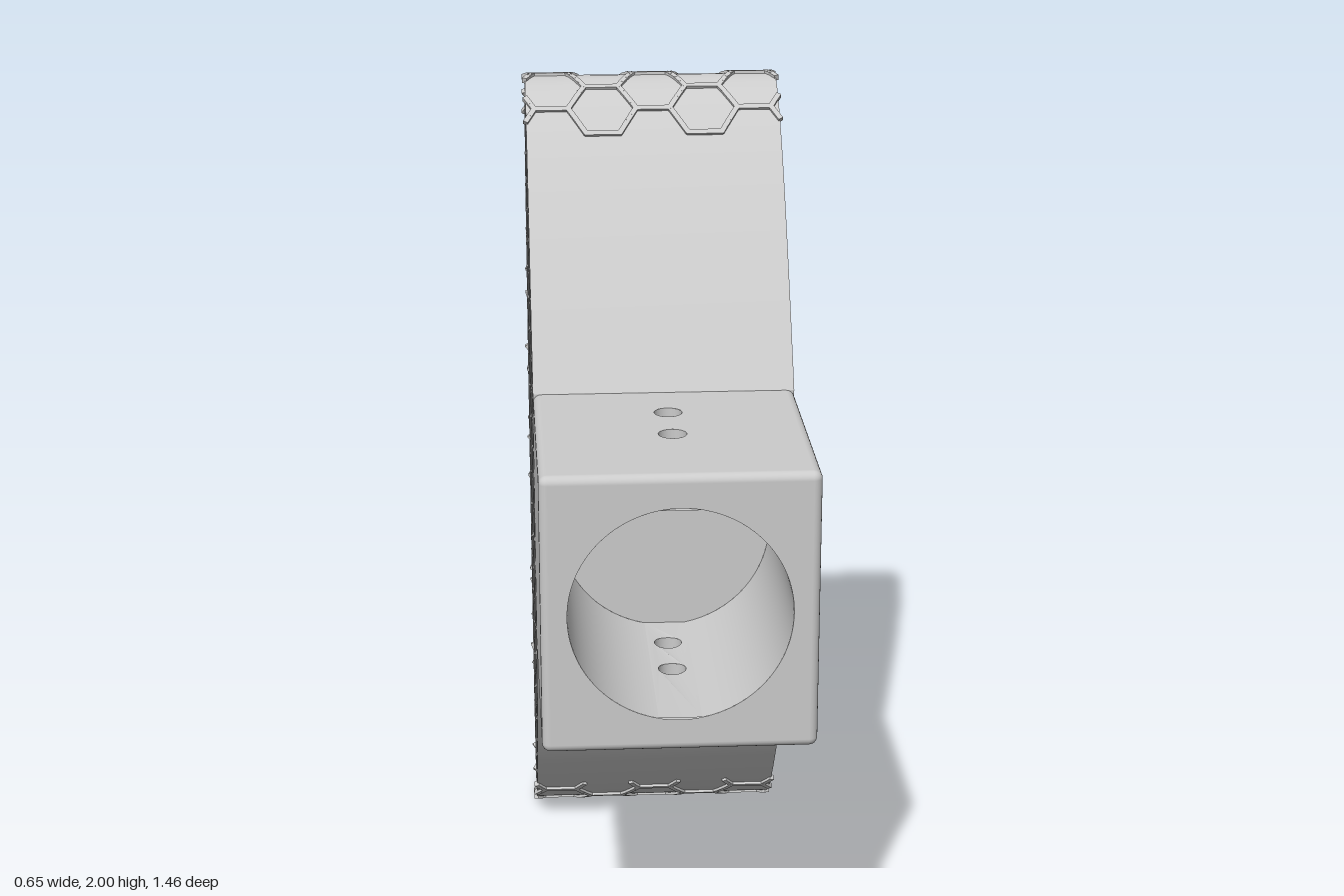
import * as THREE from 'three';
import { mergeGeometries, toCreasedNormals } from 'three/addons/utils/BufferGeometryUtils.js';
import { RoundedBoxGeometry } from 'three/addons/geometries/RoundedBoxGeometry.js';

const HALF_W = 0.315, HALF_H = 0.3325, Z_BACK = 0.105, Z_FRONT = 0.73, ROUND = 0.02;
const BORE = 0.255, BORE_END = 0.16, PIN = 0.033, PIN_Z = [0.28, 0.44];
const V2 = (x, y) => new THREE.Vector2(x, y);
const material = new THREE.MeshStandardMaterial({ color: 0xcccccc, side: THREE.DoubleSide });

function add(group, name, geometry) {
  const mesh = new THREE.Mesh(geometry, material);
  mesh.name = name;
  group.add(mesh);
}

// Rectangle with round holes
function plate(x0, x1, y0, y1, holes, segments) {
  const shape = new THREE.Shape([V2(x0, y0), V2(x1, y0), V2(x1, y1), V2(x0, y1)]);
  for (const [x, y, r] of holes) shape.holes.push(new THREE.Path().absarc(x, y, r, 0, Math.PI * 2, true));
  return new THREE.ShapeGeometry(shape, segments);
}

// Move every vertex by a rule
function warp(geometry, rule) {
  const p = geometry.attributes.position, v = new THREE.Vector3();
  for (let i = 0; i < p.count; i++) {
    rule(v.fromBufferAttribute(p, i));
    p.setXYZ(i, v.x, v.y, v.z);
  }
  geometry.computeVertexNormals();
  return geometry;
}

// Rounded box with its front, top and bottom flats left open
function openBox() {
  const src = new RoundedBoxGeometry(HALF_W * 2, HALF_H * 2, Z_FRONT - Z_BACK, 3, ROUND);
  const box = src.index ? src.toNonIndexed() : src;
  const p = box.attributes.position, n = box.attributes.normal, pos = [], nor = [];
  const hz = (Z_FRONT - Z_BACK) / 2 - 1e-5, hy = HALF_H - 1e-5;
  for (let i = 0; i < p.count; i += 3) {
    const t = [i, i + 1, i + 2];
    if (t.every(k => p.getZ(k) > hz) || t.every(k => p.getY(k) > hy) || t.every(k => p.getY(k) < -hy)) continue;
    for (const k of t) {
      pos.push(p.getX(k), p.getY(k), p.getZ(k));
      nor.push(n.getX(k), n.getY(k), n.getZ(k));
    }
  }
  const g = new THREE.BufferGeometry();
  g.setAttribute('position', new THREE.Float32BufferAttribute(pos, 3));
  g.setAttribute('normal', new THREE.Float32BufferAttribute(nor, 3));
  return g.translate(0, 0, (Z_FRONT + Z_BACK) / 2);
}

function buildSocket() {
  const g = new THREE.Group();
  g.name = 'socketBlock';
  add(g, 'blockShell', openBox());
  const fx = HALF_W - ROUND, fy = HALF_H - ROUND;
  add(g, 'blockFront', plate(-fx, fx, -fy, fy, [[0, 0, BORE]], 64).translate(0, 0, Z_FRONT));
  add(g, 'boreEnd', new THREE.CircleGeometry(BORE, 64).translate(0, 0, BORE_END));

  // Bore wall: two side arcs, plus a pierced strip above and below
  const strip = 0.05, a = Math.asin(strip / BORE), len = Z_FRONT - BORE_END;
  for (const start of [a, Math.PI + a]) {
    const arc = new THREE.CylinderGeometry(BORE, BORE, len, 32, 1, true, start, Math.PI - 2 * a);
    add(g, 'boreWall', arc.rotateX(Math.PI / 2).translate(0, 0, (Z_FRONT + BORE_END) / 2));
  }
  const pins = PIN_Z.map(z => [0, z, PIN]);
  const boreY = x => Math.sqrt(BORE * BORE - x * x);
  for (const s of [1, -1]) {
    add(g, 'boreStrip', warp(plate(-strip, strip, BORE_END, Z_FRONT, pins, 24),
      v => v.set(v.x, s * boreY(v.x), v.y)));
    add(g, s > 0 ? 'blockTop' : 'blockBottom',
      warp(plate(-fx, fx, Z_BACK + ROUND, Z_FRONT - ROUND, pins, 24), v => v.set(v.x, s * HALF_H, v.y)));
    for (const z of PIN_Z) {
      add(g, 'pinHole', warp(new THREE.CylinderGeometry(PIN, PIN, 1, 24, 1, true),
        v => v.set(v.x, s * (v.y > 0 ? HALF_H : boreY(v.x)), v.z + z)));
    }
  }
  return g;
}

// Upper half of the head outline as (-z, y): a swept front, then a quarter ellipse
function upperOutline() {
  const front = new THREE.CubicBezierCurve(V2(-0.125, 0.333), V2(0.1, 0.7), V2(0.31, 0.993), V2(0.438, 0.993));
  const pts = front.getPoints(24);
  for (let i = 1; i <= 24; i++) {
    const t = (i / 24) * Math.PI / 2;
    pts.push(V2(0.438 + 0.284 * Math.sin(t), 0.993 * Math.cos(t)));
  }
  return pts;
}

// Keep the part of a polygon inside a convex clockwise outline shrunk by the rim
function clip(poly, outline, rim) {
  outline.forEach((a, i) => {
    const b = outline[(i + 1) % outline.length];
    const n = V2(b.y - a.y, a.x - b.x).normalize();
    const dist = p => n.x * (p.x - a.x) + n.y * (p.y - a.y) - rim;
    const out = [];
    poly.forEach((p, k) => {
      const q = poly[(k + 1) % poly.length], dp = dist(p), dq = dist(q);
      if (dp >= 0) out.push(p);
      if (dp * dq < 0) out.push(p.clone().lerp(q, dp / (dp - dq)));
    });
    poly = out;
  });
  return poly;
}

const hexagon = (cx, cy, r) => Array.from({ length: 6 }, (_, k) =>
  V2(cx + r * Math.cos(k * Math.PI / 3), cy + r * Math.sin(k * Math.PI / 3)));

// Head: solid rim filled with hexagonal cells running straight across
function buildHead(outline) {
  const shape = new THREE.Shape(outline);
  const pitch = 0.115, r = pitch / Math.sqrt(3), wall = 0.013;
  for (let c = -3; c <= 9; c++) {
    for (let k = -10; k <= 10; k++) {
      const cell = hexagon(c * r * 1.5, (k + (c & 1) / 2) * pitch, r - wall / Math.sqrt(3));
      const hole = clip(cell, outline, 0.02);
      if (hole.length > 2 && Math.abs(THREE.ShapeUtils.area(hole)) > 2e-4) shape.holes.push(new THREE.Path(hole));
    }
  }
  const g = new THREE.ExtrudeGeometry(shape, { depth: HALF_W * 2, bevelEnabled: false, curveSegments: 1 });
  g.translate(0, 0, -HALF_W).rotateY(Math.PI / 2);
  return toCreasedNormals(g, 0.5);
}

// Raised hexagonal ridges wrapped over the curved back
function buildRidges(upper) {
  const top = upper.filter(p => p.x > 0.25);
  const path = [...top, ...top.slice(0, -1).reverse().map(p => V2(p.x, -p.y))];
  const curve = new THREE.CatmullRomCurve3(path.map(p => new THREE.Vector3(0, p.y, -p.x)));
  curve.arcLengthDivisions = 600;
  const length = curve.getLength(), R = 0.084, pitch = R * Math.sqrt(3);
  const hash = (a, b) => { const h = Math.sin(a * 127.1 + b * 311.7) * 43758.5; return h - Math.floor(h) - 0.5; };
  // Cells grow irregular towards the middle of the back
  const jitter = p => {
    const i = Math.round(p.x * 37), j = Math.round(p.y * 37);
    const amount = 0.055 * THREE.MathUtils.smoothstep(Math.min(p.y, length - p.y), 0.35, 0.8);
    return V2(p.x + amount * hash(i, j), p.y + amount * hash(j + 9, i));
  };
  const inside = p => Math.abs(p.x) <= HALF_W + 0.001 && p.y >= 0 && p.y <= length;
  const onSurface = p => curve.getPointAt(THREE.MathUtils.clamp(p.y / length, 0, 1)).setX(p.x);
  const parts = [];
  const ridge = (p, q) => {
    const a = onSurface(p), b = onSurface(q), dir = b.clone().sub(a);
    const size = dir.length();
    if (size < 1e-4) return;
    dir.normalize();
    const t = curve.getTangentAt(THREE.MathUtils.clamp((p.y + q.y) / 2 / length, 0, 1));
    const up = new THREE.Vector3(1, 0, 0).cross(t).normalize();
    const side = up.clone().cross(dir).normalize();
    const m = new THREE.Matrix4().makeBasis(side, dir.clone().cross(side), dir);
    m.setPosition(a.add(b).multiplyScalar(0.5));
    parts.push(new THREE.BoxGeometry(0.013, 0.014, size + 0.006).applyMatrix4(m));
  };
  for (let c = -3; c <= 3; c++) {
    for (let k = -1; k <= length / pitch + 1; k++) {
      const v = hexagon(c * R * 1.5, (k + (c & 1) / 2) * pitch, R).map(jitter);
      for (let e = 0; e < 3; e++) {
        for (let n = 0; n < 4; n++) {
          const p = v[e].clone().lerp(v[e + 1], n / 4), q = v[e].clone().lerp(v[e + 1], (n + 1) / 4);
          if (inside(p) && inside(q)) ridge(p, q);
        }
      }
    }
  }
  return mergeGeometries(parts);
}

export function createModel() {
  const model = new THREE.Group();
  model.name = 'honeycombHead';
  const upper = upperOutline();
  const outline = [...upper, ...upper.slice(0, -1).reverse().map(p => V2(p.x, -p.y))];
  const body = new THREE.Group();
  body.name = 'body';
  body.position.y = 1;
  body.add(buildSocket());
  add(body, 'cellularHead', buildHead(outline));
  add(body, 'surfaceRidges', buildRidges(upper));
  model.add(body);
  return model;
}
